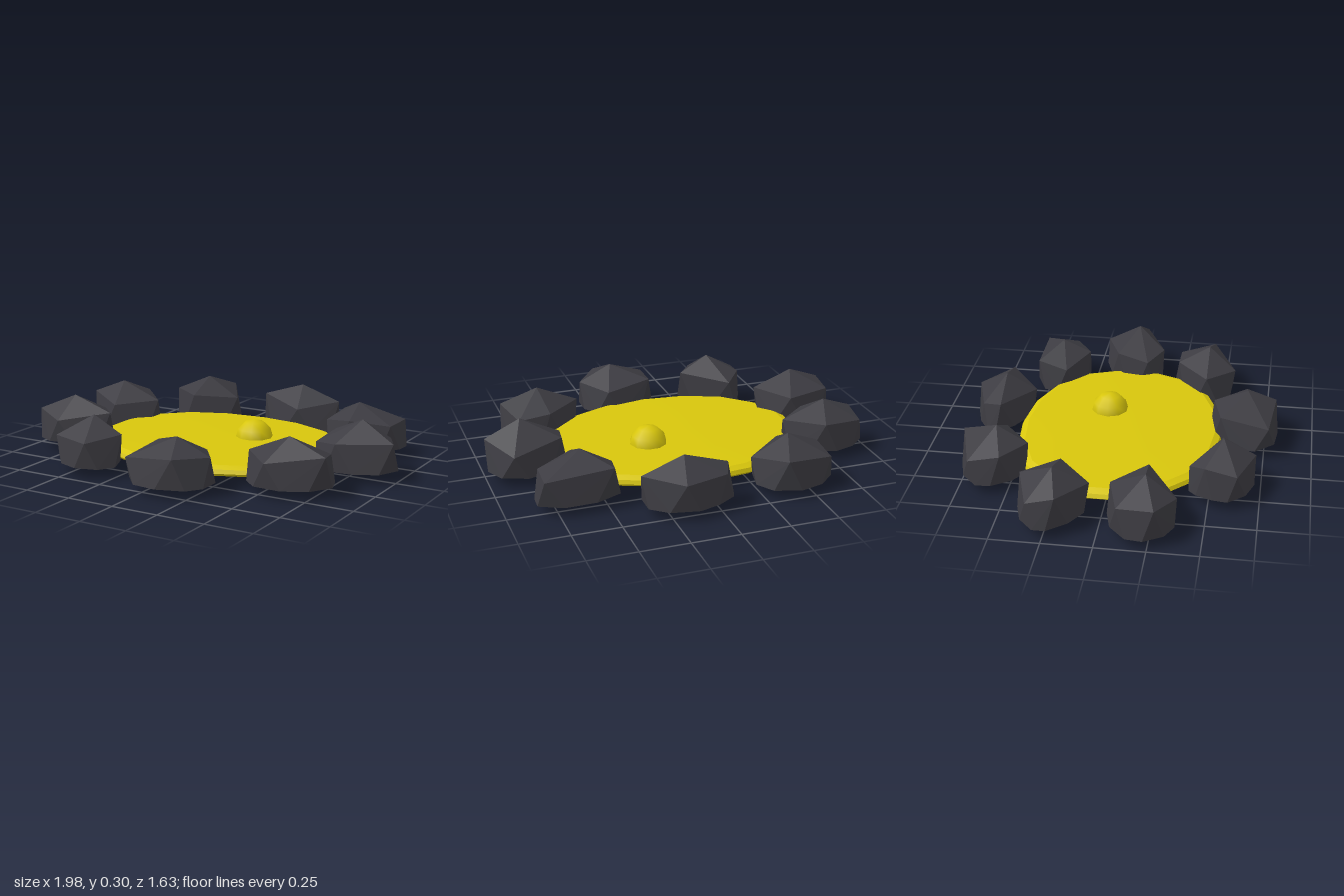
import * as THREE from 'three';
import { toCreasedNormals } from 'three/addons/utils/BufferGeometryUtils.js';
import { ConvexGeometry } from 'three/addons/geometries/ConvexGeometry.js';

const BASE_Y = 0.05;

// Each rock: peak (x, y, z), then five shoulder corners (x, z)
const ROCKS = [
  [0.16, 0.28, -0.65, 0.2, -0.81, 0.38, -0.66, 0.2, -0.5, -0.07, -0.64, -0.03, -0.74],
  [0.61, 0.28, -0.42, 0.47, -0.54, 0.82, -0.55, 0.81, -0.37, 0.62, -0.27, 0.44, -0.38],
  [0.81, 0.3, -0.01, 0.62, -0.11, 0.885, -0.2, 0.99, 0.02, 0.73, 0.14, 0.59, 0.06],
  [0.62, 0.285, 0.41, 0.59, 0.24, 0.76, 0.24, 0.82, 0.43, 0.56, 0.56, 0.4, 0.41],
  [0.14, 0.275, 0.65, 0.2, 0.47, 0.32, 0.64, 0.2, 0.8, -0.08, 0.77, -0.05, 0.52],
  [-0.41, 0.295, 0.56, -0.49, 0.4, -0.25, 0.55, -0.36, 0.72, -0.59, 0.64, -0.57, 0.48],
  [-0.78, 0.285, 0.22, -0.71, 0.04, -0.56, 0.21, -0.79, 0.37, -0.97, 0.28, -0.95, 0.1],
  [-0.77, 0.28, -0.23, -0.71, -0.4, -0.54, -0.23, -0.72, -0.06, -0.94, -0.19, -0.94, -0.33],
  [-0.41, 0.28, -0.58, -0.34, -0.765, -0.22, -0.57, -0.42, -0.42, -0.59, -0.53, -0.6, -0.69],
];

// Faceted half-buried stone: peak, shoulders, and a ten-sided foot
// whose corners sit on the shoulder edges, pushed outwards
function makeRock([px, py, pz, ...corners], index) {
  const ring = [0, 1, 2, 3, 4].map((i) =>
    new THREE.Vector3(corners[2 * i], 0.19 + 0.02 * Math.sin(2.4 * i + index), corners[2 * i + 1]));
  const centre = new THREE.Vector3();
  ring.forEach((p) => centre.addScaledVector(p, 1 / 5));
  const points = [new THREE.Vector3(px, py, pz), ...ring];
  ring.forEach((p, i) => {
    for (const t of [0.3, 0.7]) {
      const foot = p.clone().lerp(ring[(i + 1) % 5], t).sub(centre).multiplyScalar(1.17).add(centre);
      points.push(foot.setY(BASE_Y));
    }
  });
  return new ConvexGeometry(points);
}

// Thin lens-shaped pool: a lathe widened into a slightly squared oval
function makePool() {
  const profile = [[0, 0.018], [0.5, 0.023], [0.82, 0.033], [0.97, 0.05], [1, 0.065],
    [0.985, 0.085], [0.93, 0.1], [0.5, 0.107], [0, 0.11]];
  const geometry = new THREE.LatheGeometry(profile.map(([r, y]) => new THREE.Vector2(r, y)), 18);
  const pos = geometry.attributes.position;
  for (let i = 0; i < pos.count; i++) {
    const angle = Math.atan2(pos.getZ(i), pos.getX(i));
    const swell = 1 + 0.035 * Math.sin(2 * angle) ** 2;
    pos.setX(i, pos.getX(i) * 0.68 * swell - 0.01);
    pos.setZ(i, pos.getZ(i) * 0.535 * swell - 0.005);
  }
  return toCreasedNormals(geometry, 0.3);
}

export function createModel() {
  const model = new THREE.Group();
  model.name = 'rockRingedPool';

  const stone = new THREE.MeshStandardMaterial({ color: 0x3d3c42 });
  stone.name = 'dark stone';
  const liquid = new THREE.MeshStandardMaterial({ color: 0xd8c60c });
  liquid.name = 'yellow liquid';

  const add = (name, geometry, material, parent = model) => {
    const mesh = new THREE.Mesh(geometry, material);
    mesh.name = name;
    parent.add(mesh);
    return mesh;
  };

  // Pool and the single bubble rising through it
  add('pool', makePool(), liquid);
  add('bubble', new THREE.SphereGeometry(0.1, 10, 6), liquid).position.set(0.155, 0.1, -0.09);

  // Ring of stones
  const rockRing = new THREE.Group();
  rockRing.name = 'rockRing';
  model.add(rockRing);
  ROCKS.forEach((rock, i) => add(`rock${i + 1}`, makeRock(rock, i), stone, rockRing));

  return model;
}
